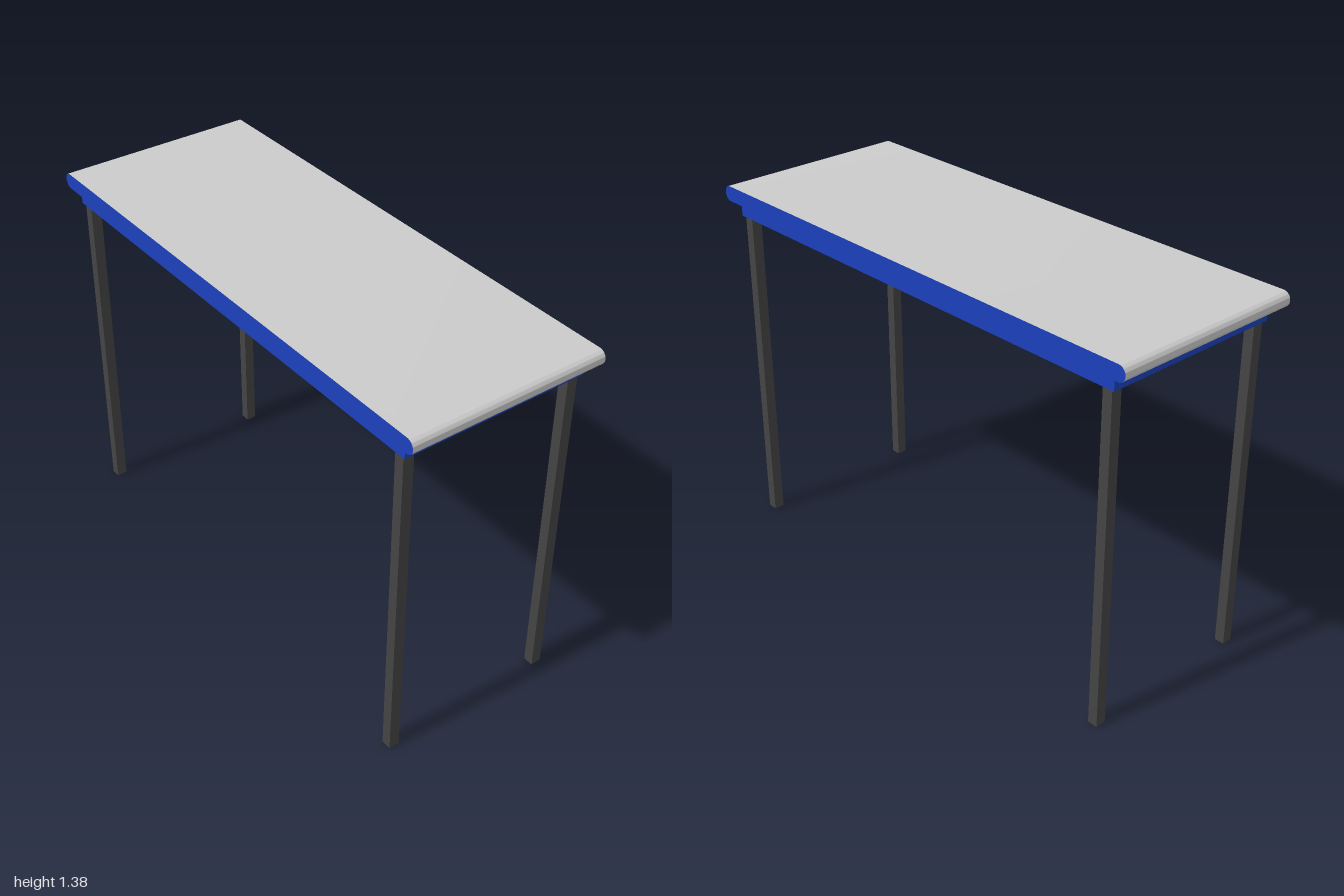
import * as THREE from 'three';
import { toCreasedNormals } from 'three/addons/utils/BufferGeometryUtils.js';

export function createModel() {
  const group = new THREE.Group();
  group.name = 'table';
  const grey = new THREE.MeshStandardMaterial({ color: 0xcccccc });
  const blue = new THREE.MeshStandardMaterial({ color: 0x1c40bb });
  const dark = new THREE.MeshStandardMaterial({ color: 0x444444 });

  const add = (name, geometry, material, x, y, z) => {
    const mesh = new THREE.Mesh(geometry, material);
    mesh.name = name;
    mesh.position.set(x, y, z);
    group.add(mesh);
  };

  // Tabletop: slab with half-round ends, blue long edges
  const width = 0.756, r = 0.029, end = 1 - r;
  const profile = new THREE.Shape();
  profile.moveTo(-end, -r);
  profile.lineTo(end, -r);
  profile.absarc(end, 0, r, -Math.PI / 2, Math.PI / 2, false);
  profile.lineTo(-end, r);
  profile.absarc(-end, 0, r, Math.PI / 2, Math.PI * 1.5, false);
  let slab = new THREE.ExtrudeGeometry(profile, { depth: width, bevelEnabled: false, curveSegments: 16 });
  slab.translate(0, 0, -width / 2).rotateY(Math.PI / 2);
  slab = toCreasedNormals(slab, Math.PI / 5);
  add('tabletop', slab, [blue, grey], 0, 1.347, 0);

  // Apron under the top
  add('apron', new THREE.BoxGeometry(0.708, 0.053, 1.876), blue, 0, 1.2915, 0);

  // Four legs
  const leg = new THREE.BoxGeometry(0.04, 1.265, 0.038);
  for (const [sx, side] of [[1, 'Left'], [-1, 'Right']]) {
    for (const [sz, face] of [[1, 'front'], [-1, 'back']]) {
      add(`${face}${side}Leg`, leg, dark, sx * 0.327, 0.6325, sz * 0.906);
    }
  }
  return group;
}
